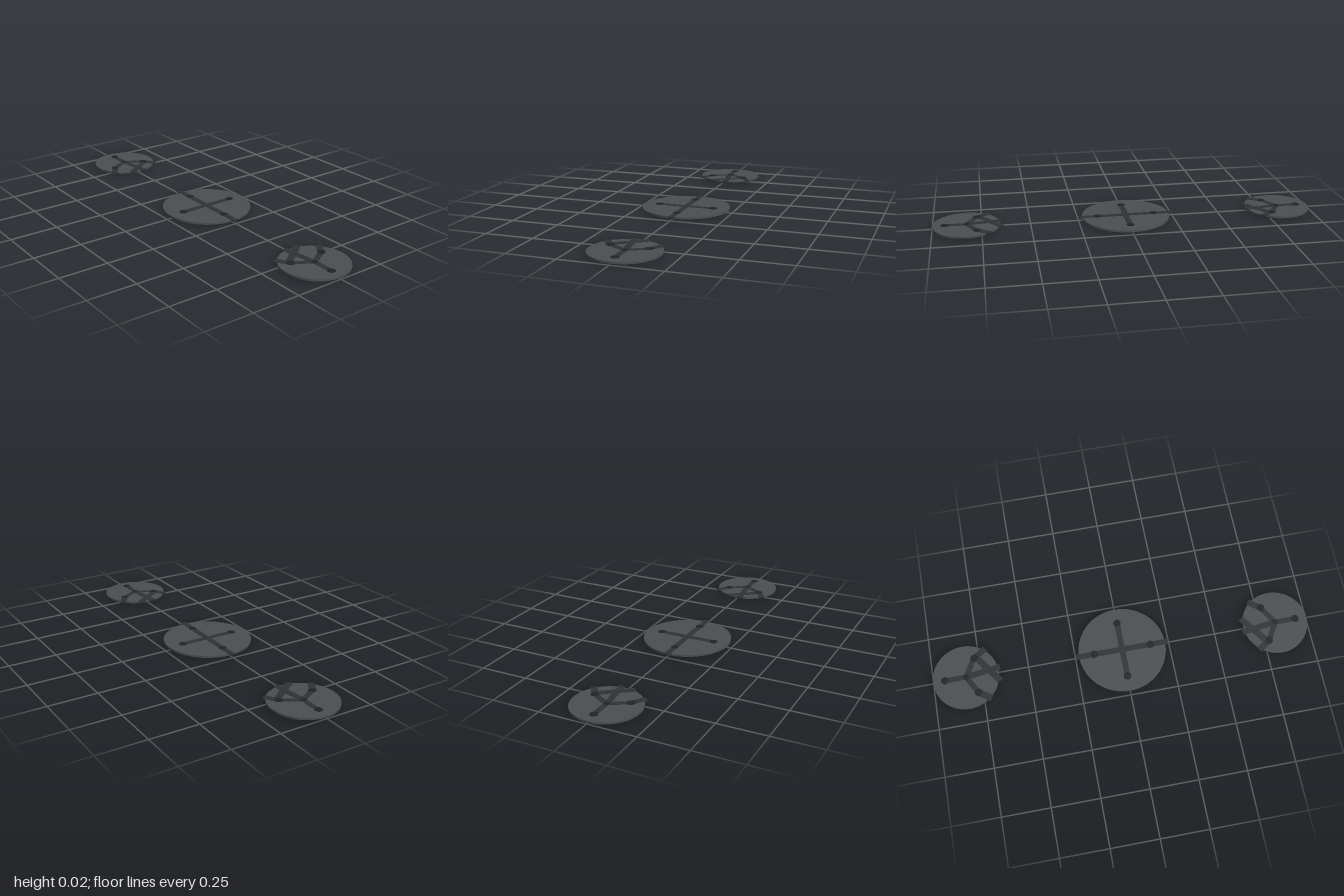
import * as THREE from 'three';

const paint = (color) => new THREE.MeshStandardMaterial({ color });
const plateMat = paint(0x4c4f52);
const baseMat = paint(0x222426);
const strapMat = paint(0x303336);
const boltMat = paint(0x202325);

function add(parent, name, geometry, material, x, y, z) {
  const mesh = new THREE.Mesh(geometry, material);
  mesh.name = name;
  mesh.position.set(x, y, z);
  parent.add(mesh);
  return mesh;
}

// Round plate on a slightly smaller dark base
function addPlate(parent, radius, baseRadius) {
  add(parent, 'base', new THREE.CylinderGeometry(baseRadius, baseRadius, 0.007, 64), baseMat, 0, 0.0035, 0);
  add(parent, 'plate', new THREE.CylinderGeometry(radius, radius, 0.01, 64), plateMat, 0, 0.0115, 0);
}

// Flat strap lying on the plate between two points given as [x, z]
function addStrap(parent, [x1, z1], [x2, z2], width, top) {
  const length = Math.hypot(x2 - x1, z2 - z1);
  const strap = add(parent, 'strap', new THREE.BoxGeometry(length, 0.006, width), strapMat,
    (x1 + x2) / 2, top - 0.003, (z1 + z2) / 2);
  strap.rotation.y = -Math.atan2(z2 - z1, x2 - x1);
}

function addBolt(parent, [x, z], radius) {
  add(parent, 'bolt', new THREE.CylinderGeometry(radius, radius, 0.008, 16), boltMat, x, 0.015, z);
}

// Large plate with a cross of straps
function centrePlate() {
  const group = new THREE.Group();
  group.name = 'centrePlate';
  addPlate(group, 0.23, 0.215);
  addStrap(group, [-0.245, 0], [0.245, 0], 0.03, 0.0182);
  addStrap(group, [0, -0.15], [0, 0.15], 0.03, 0.0179);
  for (const p of [[0.15, 0], [-0.15, 0], [0, 0.15], [0, -0.15]]) addBolt(group, p, 0.02);
  return group;
}

// Small plate with three spokes and loose straps overhanging the inner edge
function sidePlate(name) {
  const group = new THREE.Group();
  group.name = name;
  addPlate(group, 0.172, 0.16);
  for (let i = 0; i < 3; i++) {
    const angle = Math.PI + (i * Math.PI * 2) / 3;
    const end = [0.11 * Math.cos(angle), 0.11 * Math.sin(angle)];
    addStrap(group, [0, 0], end, 0.028, 0.0178);
    addBolt(group, end, 0.02);
  }
  for (const s of [-1, 1]) addStrap(group, [0.055, s * 0.095], [0.118, s * 0.138], 0.034, 0.018);
  addStrap(group, [0, 0], [0.183, -0.024], 0.032, 0.0182);
  addStrap(group, [0.075, -0.085], [0.175, 0.052], 0.034, 0.0184);
  addBolt(group, [0, 0], 0.016);
  return group;
}

export function createModel() {
  const model = new THREE.Group();
  model.name = 'floorPlates';
  model.add(centrePlate());

  const right = sidePlate('rightPlate');
  right.position.x = -0.828;
  const left = sidePlate('leftPlate');
  left.position.x = 0.828;
  left.rotation.y = Math.PI;
  model.add(right, left);
  return model;
}
